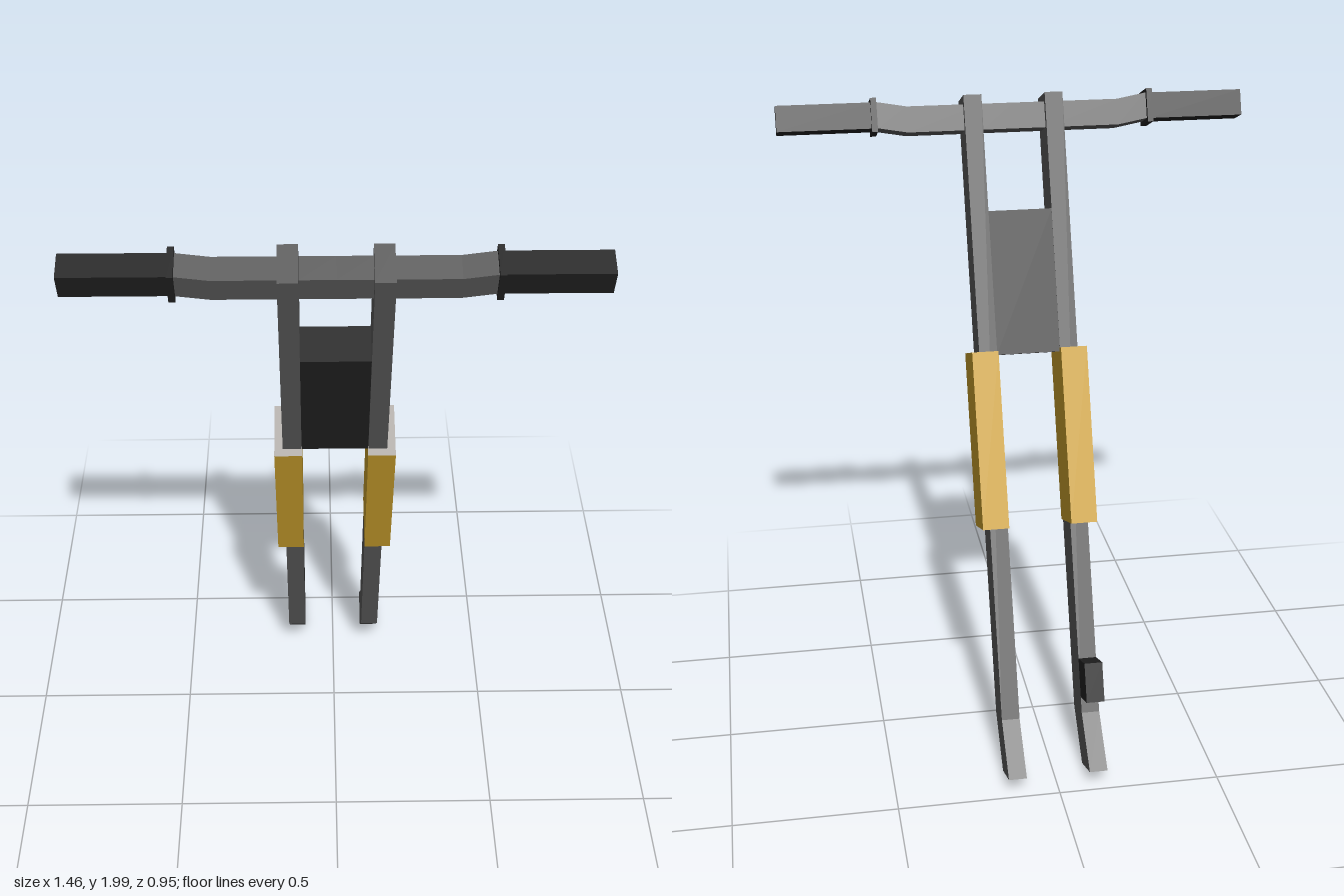
import * as THREE from 'three';

const material = (name, color) => {
  const m = new THREE.MeshStandardMaterial({ color });
  m.name = name;
  return m;
};

// Box given by its minimum and maximum corners
function block(name, mat, [x0, y0, z0], [x1, y1, z1]) {
  const geo = new THREE.BoxGeometry(x1 - x0, y1 - y0, z1 - z0);
  const mesh = new THREE.Mesh(geo, mat);
  mesh.position.set((x0 + x1) / 2, (y0 + y1) / 2, (z0 + z1) / 2);
  mesh.name = name;
  return mesh;
}

export function createModel() {
  const grey = material('frame grey', 0x5c5c5c);
  const black = material('rubber black', 0x222222);
  const gold = material('sleeve gold', 0xcda22e);
  const silver = material('sleeve end silver', 0xb0aca8);

  const model = new THREE.Group();
  model.name = 'forkAndHandlebar';

  // Everything is built upright, then the whole fork is raked forward
  const fork = new THREE.Group();
  fork.name = 'fork';
  fork.position.set(0, 1, 0.046);
  fork.rotation.x = 0.366;
  model.add(fork);

  // Leg side profile with the foot kicked backwards; shape x is local z
  const legShape = new THREE.Shape([
    [0.065, 1.042], [-0.065, 1.042], [-0.065, -0.9],
    [-0.147, -1.07], [-0.017, -1.07], [0.065, -0.9],
  ].map(([z, y]) => new THREE.Vector2(z, y)));
  const legGeo = new THREE.ExtrudeGeometry(legShape, { depth: 0.056, bevelEnabled: false });
  legGeo.rotateY(-Math.PI / 2);

  // Box faces run +x, -x, +y, -y, +z, -z
  const sleeveMats = [gold, gold, silver, silver, gold, gold];

  for (const [side, s] of [['left', 1], ['right', -1]]) {
    const leg = new THREE.Mesh(legGeo, grey);
    leg.name = side + 'Leg';
    leg.position.x = s * 0.127 + 0.028;
    fork.add(leg);

    const span = (a, b) => (s > 0 ? [a, b] : [-b, -a]);
    const add = (name, mat, [a, b], [y0, y1], [z0, z1]) => {
      const [x0, x1] = span(a, b);
      fork.add(block(side + name, mat, [x0, y0, z0], [x1, y1, z1]));
    };
    add('Sleeve', sleeveMats, [0.098, 0.18], [-0.3, 0.25], [-0.09, 0.09]);
    add('Grip', black, [0.43, 0.73], [0.952, 1.032], [-0.047, 0.033]);
    add('GripFlange', black, [0.423, 0.441], [0.94, 1.044], [-0.059, 0.045]);
  }

  // Panel between the upper legs and the block behind the right foot
  fork.add(block('centrePanel', black, [-0.1, 0.238, -0.064], [0.1, 0.683, 0.057]));
  fork.add(block('brakeBlock', black, [-0.155, -0.85, -0.165], [-0.099, -0.728, -0.06]));

  // Square handlebar, its ends rising gently toward the grips
  const bar = new THREE.BoxGeometry(0.88, 0.08, 0.08, 8, 1, 1);
  const stations = [-0.44, -0.42, -0.33, -0.1, 0, 0.1, 0.33, 0.42, 0.44];
  const p = bar.attributes.position;
  for (let i = 0; i < p.count; i++) {
    const x = stations[Math.round(p.getX(i) / 0.11) + 4];
    const rise = THREE.MathUtils.clamp((Math.abs(x) - 0.33) / 0.09, 0, 1) * 0.016;
    p.setX(i, x);
    p.setY(i, p.getY(i) + 0.976 + rise);
    p.setZ(i, p.getZ(i) - 0.006);
  }
  const flatBar = bar.toNonIndexed();
  flatBar.computeVertexNormals();
  const handlebar = new THREE.Mesh(flatBar, grey);
  handlebar.name = 'handlebar';
  fork.add(handlebar);

  return model;
}
